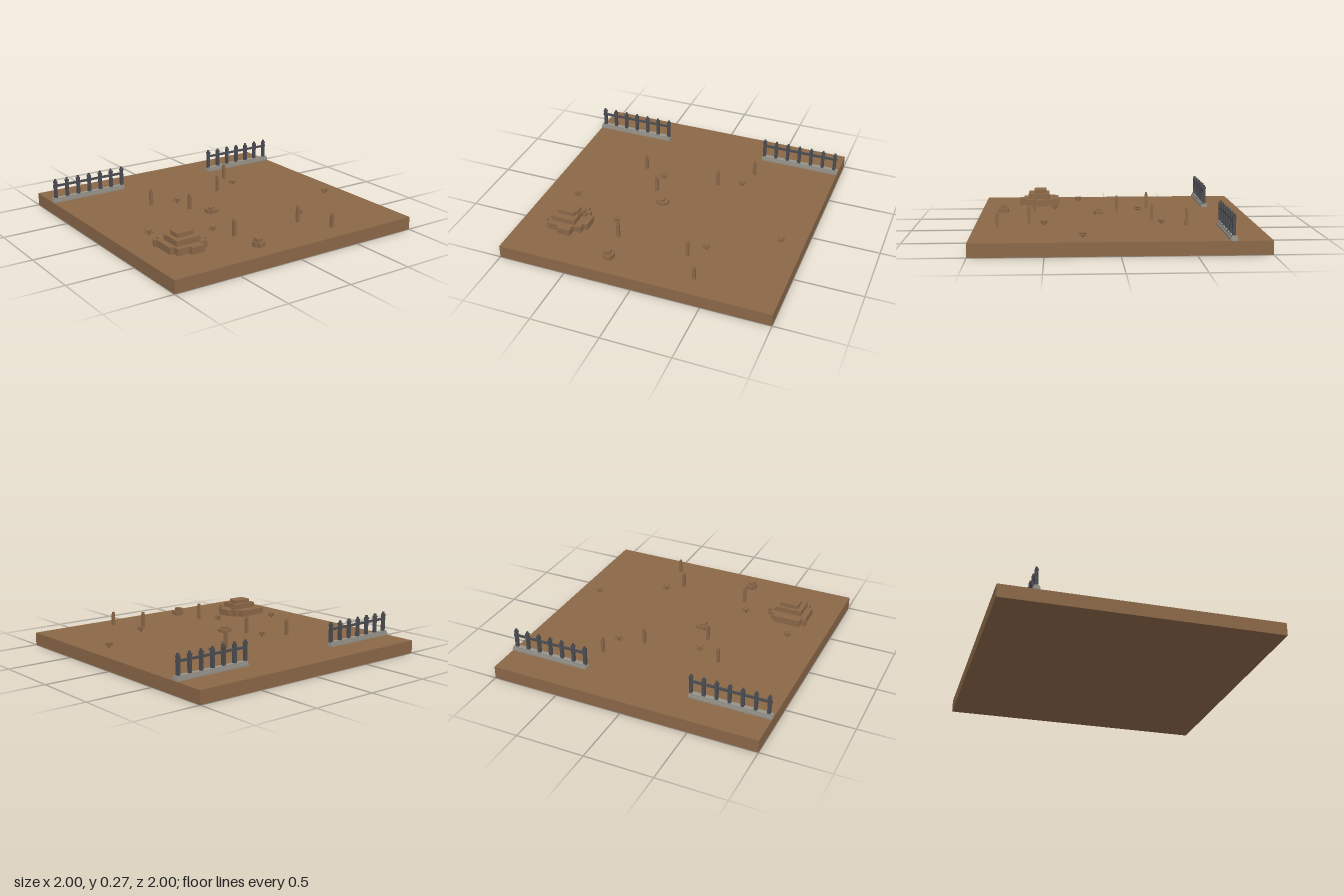
import * as THREE from 'three';

const GROUND = 0.095; // top of the earth slab

export function createModel() {
  const model = new THREE.Group();
  const mat = (name, color) => {
    const m = new THREE.MeshStandardMaterial({ color });
    m.name = name;
    return m;
  };
  const earth = mat('earth brown', 0x8b6848);
  const iron = mat('dark iron', 0x4b4d52);
  const stone = mat('grey stone', 0x96938a);

  // Box given by its limits on each axis
  function box(parent, name, material, x0, x1, y0, y1, z0, z1) {
    const mesh = new THREE.Mesh(new THREE.BoxGeometry(x1 - x0, y1 - y0, z1 - z0), material);
    mesh.position.set((x0 + x1) / 2, (y0 + y1) / 2, (z0 + z1) / 2);
    mesh.name = name;
    parent.add(mesh);
    return mesh;
  }

  // Layer with a stepped outline of [x, z] points, extruded upwards
  function layer(parent, name, points, y0, y1) {
    const shape = new THREE.Shape(points.map(([x, z]) => new THREE.Vector2(x, -z)));
    const geo = new THREE.ExtrudeGeometry(shape, { depth: y1 - y0, bevelEnabled: false });
    geo.rotateX(-Math.PI / 2);
    const mesh = new THREE.Mesh(geo, earth);
    mesh.position.y = y0;
    mesh.name = name;
    parent.add(mesh);
  }

  function group(name) {
    const g = new THREE.Group();
    g.name = name;
    model.add(g);
    return g;
  }

  box(model, 'groundSlab', earth, -1, 1, 0, GROUND, -1, 1);

  // Two iron fences on stone footings
  for (const side of [-1, 1]) {
    const fence = group(side < 0 ? 'rightFence' : 'leftFence');
    const c = side * 0.698;
    box(fence, 'footing', stone, c - 0.302, c + 0.302, GROUND, 0.113, -0.764, -0.716);
    box(fence, 'footingTop', stone, c - 0.299, c + 0.299, 0.113, 0.128, -0.757, -0.723);
    box(fence, 'rail', iron, c - 0.29, c + 0.29, 0.212, 0.228, -0.747, -0.733);
    for (let i = 0; i < 7; i++) {
      const x = side * (0.408 + i * 0.0937);
      box(fence, 'post', iron, x - 0.011, x + 0.011, 0.125, 0.245, -0.751, -0.729);
      box(fence, 'postCollar', iron, x - 0.013, x + 0.013, 0.245, 0.257, -0.752, -0.728);
      box(fence, 'postTip', iron, x - 0.006, x + 0.006, 0.257, 0.272, -0.748, -0.732);
    }
  }

  // Large stepped mound
  const mound = group('largeMound');
  layer(mound, 'moundBase', [
    [-0.78, 0.41], [-0.57, 0.41], [-0.57, 0.45], [-0.54, 0.45], [-0.54, 0.5], [-0.5, 0.5],
    [-0.5, 0.61], [-0.53, 0.61], [-0.53, 0.66], [-0.59, 0.66], [-0.59, 0.72], [-0.69, 0.72],
    [-0.69, 0.69], [-0.78, 0.69], [-0.78, 0.64], [-0.81, 0.64], [-0.81, 0.46], [-0.78, 0.46],
  ], GROUND, 0.145);
  layer(mound, 'moundMiddle', [
    [-0.765, 0.485], [-0.565, 0.485], [-0.565, 0.53], [-0.58, 0.53], [-0.58, 0.65], [-0.765, 0.65],
  ], 0.145, 0.185);
  layer(mound, 'moundTop', [
    [-0.73, 0.51], [-0.59, 0.51], [-0.59, 0.575], [-0.605, 0.575], [-0.605, 0.605], [-0.73, 0.605],
  ], 0.185, 0.214);
  box(mound, 'clod', earth, -0.82, -0.79, GROUND, 0.142, 0.435, 0.465);
  box(mound, 'clod', earth, -0.63, -0.595, GROUND, 0.147, 0.403, 0.435);
  box(mound, 'clod', earth, -0.585, -0.55, 0.14, 0.165, 0.49, 0.53);

  // Two small mounds
  const low = group('lowMound');
  box(low, 'base', earth, -0.17, -0.08, GROUND, 0.12, 0.078, 0.128);
  box(low, 'baseCross', earth, -0.148, -0.095, GROUND, 0.118, 0.068, 0.142);
  box(low, 'top', earth, -0.148, -0.107, 0.118, 0.135, 0.085, 0.124);

  const small = group('smallMound');
  box(small, 'base', earth, -0.272, -0.195, GROUND, 0.128, 0.808, 0.85);
  box(small, 'baseCross', earth, -0.255, -0.203, GROUND, 0.126, 0.79, 0.871);
  box(small, 'top', earth, -0.258, -0.216, 0.126, 0.152, 0.805, 0.852);

  // Wooden stakes: a post with a slightly narrower head
  const stakes = [
    [-0.41, -0.28], [0.18, -0.27], [0.4, -0.5], [-0.225, -0.035],
    [-0.265, 0.595], [0.27, 0.62], [0.4, 0.84],
  ];
  for (const [x, z] of stakes) {
    const stake = group('stake');
    const top = z > 0.8 ? 0.2 : 0.217;
    box(stake, 'stakeBody', earth, x - 0.011, x + 0.011, GROUND, top - 0.016, z - 0.011, z + 0.011);
    box(stake, 'stakeHead', earth, x - 0.009, x + 0.007, top - 0.016, top, z - 0.009, z + 0.007);
  }

  // Dry shrubs: eight bent twigs around a short stem
  const shrubs = [
    [-0.235, -0.2], [0.36, -0.325], [-0.745, 0.25], [0.835, 0.245], [-0.34, 0.44], [0.37, 0.51],
  ];
  for (const [x, z] of shrubs) {
    const shrub = group('shrub');
    shrub.position.set(x, GROUND, z);
    box(shrub, 'stem', earth, -0.005, 0.005, 0, 0.025, -0.005, 0.005);
    for (let i = 0; i < 8; i++) {
      const twig = new THREE.Group();
      twig.name = 'twig';
      twig.rotation.y = i * Math.PI / 4;
      const lower = box(twig, 'lowerTwig', earth, 0, 0.026, 0.014, 0.02, -0.003, 0.003);
      lower.rotation.z = 0.55;
      const upper = box(twig, 'upperTwig', earth, 0.003, 0.023, 0.03, 0.036, -0.003, 0.003);
      upper.rotation.z = 0.6;
      box(twig, 'twigEnd', earth, 0.02, 0.027, 0.017, 0.032, -0.003, 0.003);
      shrub.add(twig);
    }
  }

  return model;
}
